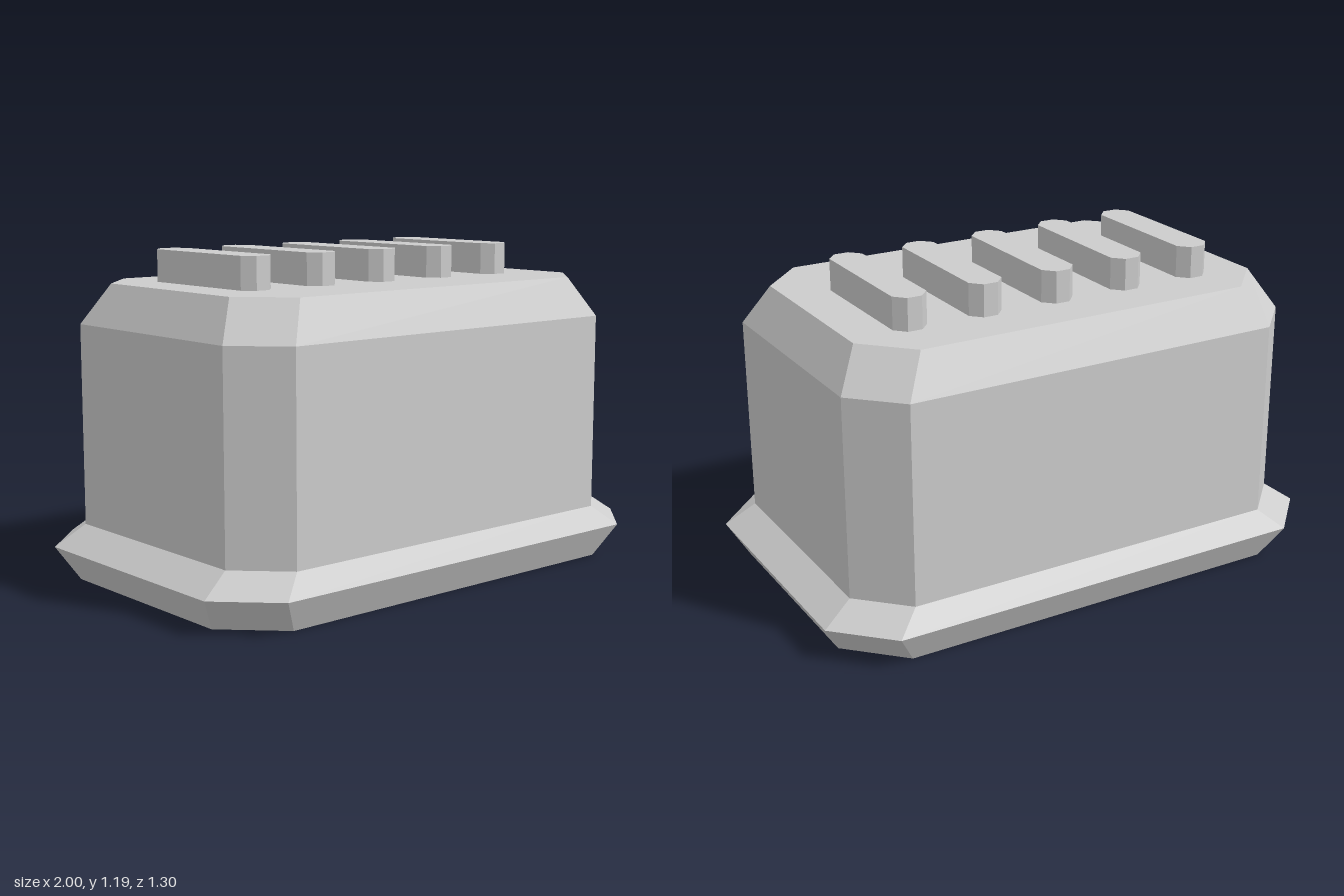
import * as THREE from 'three';

// Chamfered rectangle: half sizes x, z and the corner points cx, cz, counter-clockwise from above
function ring({ y, x, z, cx, cz }) {
  return [[x, cz], [x, -cz], [cx, -z], [-cx, -z], [-x, -cz], [-x, cz], [-cx, z], [cx, z]]
    .map(([px, pz]) => new THREE.Vector3(px, y, pz));
}

// Faceted closed solid through a stack of rings, bottom to top
function loft(sections) {
  const rings = sections.map(ring);
  const points = [];
  for (let r = 0; r < rings.length - 1; r++) {
    const low = rings[r], high = rings[r + 1];
    for (let i = 0; i < 8; i++) {
      const j = (i + 1) % 8;
      points.push(low[i], low[j], high[j], low[i], high[j], high[i]);
    }
  }
  const bottom = rings[0], top = rings[rings.length - 1];
  for (let i = 1; i < 7; i++) {
    points.push(bottom[0], bottom[i + 1], bottom[i]);
    points.push(top[0], top[i], top[i + 1]);
  }
  const geometry = new THREE.BufferGeometry().setFromPoints(points);
  geometry.computeVertexNormals();
  return geometry;
}

export function createModel() {
  const model = new THREE.Group();
  model.name = 'ridgedHousing';
  const grey = new THREE.MeshStandardMaterial({ color: 0xcccccc, flatShading: true });
  grey.name = 'light grey';

  // Housing with flared foot, straight walls and bevelled top edge
  const housing = new THREE.Mesh(loft([
    { y: 0, x: 0.93, z: 0.59, cx: 0.74, cz: 0.4 },
    { y: 0.12, x: 1, z: 0.65, cx: 0.81, cz: 0.46 },
    { y: 0.195, x: 0.89, z: 0.59, cx: 0.725, cz: 0.425 },
    { y: 0.925, x: 0.89, z: 0.59, cx: 0.725, cz: 0.425 },
    { y: 1.07, x: 0.805, z: 0.515, cx: 0.645, cz: 0.35 },
  ]), grey);
  housing.name = 'housing';
  model.add(housing);

  // Five parallel ridges on top, set slightly towards the back
  const outline = { x: 0.064, z: 0.287, cx: 0.027, cz: 0.247 };
  const ridgeGeometry = loft([{ y: 1.06, ...outline }, { y: 1.187, ...outline }]);
  for (let i = -2; i <= 2; i++) {
    const ridge = new THREE.Mesh(ridgeGeometry, grey);
    ridge.name = `ridge${i + 3}`;
    ridge.position.set(i * 0.2875, 0, -0.055);
    model.add(ridge);
  }
  return model;
}
